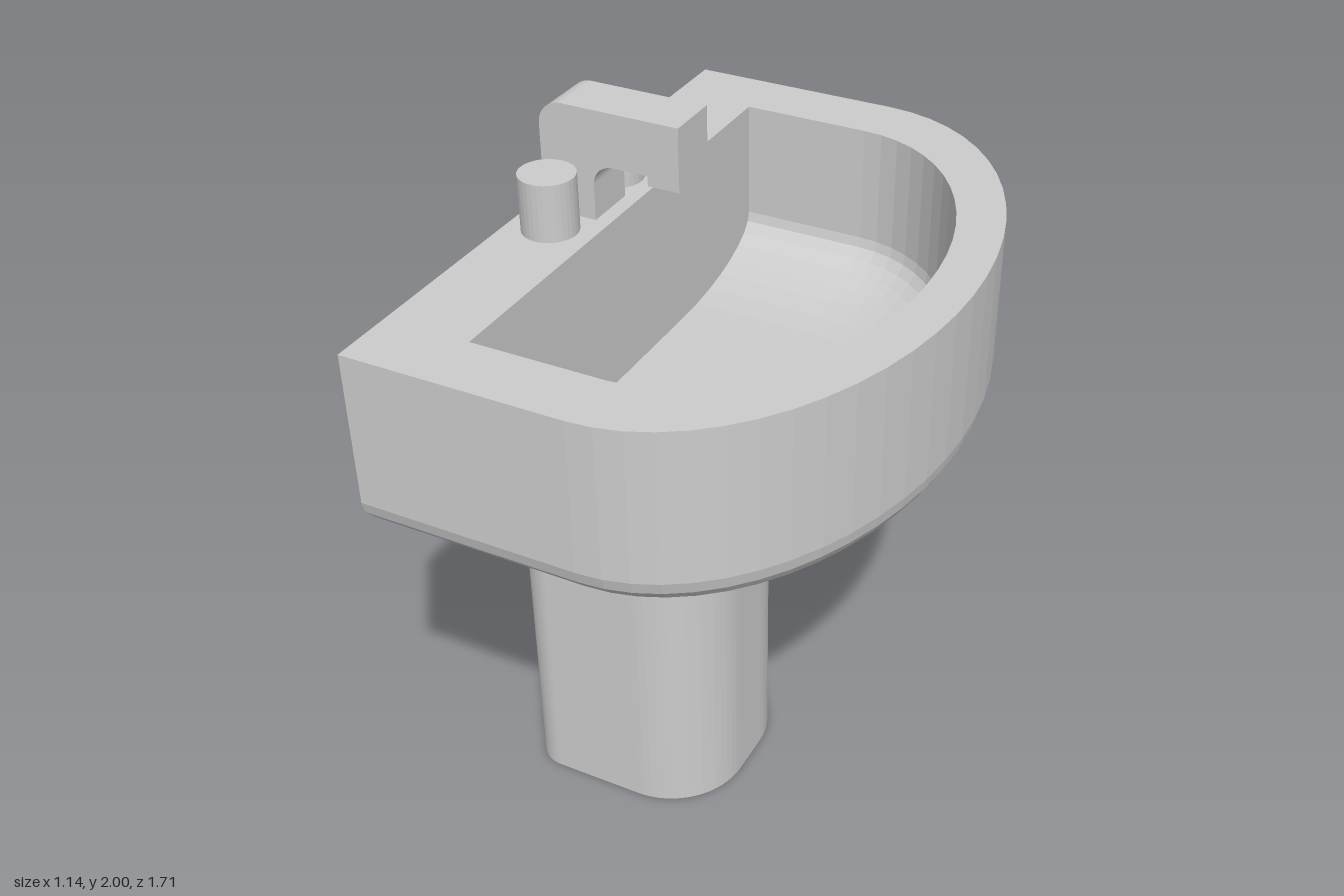
import * as THREE from 'three';

const material = new THREE.MeshStandardMaterial({ color: 0xcccccc, flatShading: true });

function add(group, geometry, name, x = 0, y = 0, z = 0) {
  const mesh = new THREE.Mesh(geometry, material);
  mesh.name = name;
  mesh.position.set(x, y, z);
  group.add(mesh);
  return mesh;
}

// D-shaped ring: straight back and sides, half-elliptical front
const ARC = 28;
function dRing(scale, back, y) {
  const ring = [[back, y, 0.855 * scale]];
  for (let i = 0; i <= ARC; i++) {
    const a = Math.PI * (0.5 - i / ARC);
    ring.push([0.57 * scale * Math.cos(a), y, 0.855 * scale * Math.sin(a)]);
  }
  ring.push([back, y, -0.855 * scale]);
  return ring;
}

// Skin between consecutive closed rings
function loft(rings) {
  const n = rings[0].length;
  const index = [];
  for (let k = 0; k < rings.length - 1; k++) {
    for (let i = 0; i < n; i++) {
      const j = (i + 1) % n;
      const a = k * n + i, b = k * n + j, c = b + n, d = a + n;
      index.push(a, b, c, a, c, d);
    }
  }
  const g = new THREE.BufferGeometry();
  g.setAttribute('position', new THREE.Float32BufferAttribute(rings.flat(2), 3));
  g.setIndex(index);
  const flat = g.toNonIndexed();
  flat.computeVertexNormals();
  return flat;
}

// Bowl shell rings from underside to rim; the inside is the same form at 80 %
function bowlRings(size, back) {
  const top = 1.71, steps = 8, rings = [];
  const point = [(back + 0.25 * size) / 2, top - 0.57 * size, 0];
  rings.push(Array.from({ length: ARC + 3 }, () => point));
  for (let i = steps; i >= 0; i--) {
    const t = (i / steps) * Math.PI / 2;
    const s = 0.42 + 0.58 * Math.cos(t);
    rings.push(dRing(s * size, back, top - size * (0.4 + 0.17 * Math.sin(t))));
  }
  rings.push(dRing(size, back, top));
  return rings;
}

function pedestalGeometry() {
  const x0 = -0.57, x1 = 0, w = 0.285, rb = 0.09, rf = 0.22;
  const s = new THREE.Shape();
  s.moveTo(x0 + rb, -w);
  s.lineTo(x1 - rf, -w);
  s.absarc(x1 - rf, -w + rf, rf, -Math.PI / 2, 0, false);
  s.absarc(x1 - rf, w - rf, rf, 0, Math.PI / 2, false);
  s.absarc(x0 + rb, w - rb, rb, Math.PI / 2, Math.PI, false);
  s.absarc(x0 + rb, -w + rb, rb, Math.PI, Math.PI * 1.5, false);
  const g = new THREE.ExtrudeGeometry(s, { depth: 1.145, bevelEnabled: false, curveSegments: 8 });
  return g.rotateX(-Math.PI / 2);
}

function spoutGeometry() {
  const s = new THREE.Shape();
  s.moveTo(-0.53, 1.71);
  s.lineTo(-0.385, 1.71);
  s.lineTo(-0.385, 1.805);
  s.absarc(-0.33, 1.805, 0.055, Math.PI, Math.PI / 2, true);
  s.lineTo(-0.235, 1.86);
  s.lineTo(-0.235, 1.835);
  s.lineTo(-0.15, 1.835);
  s.lineTo(-0.15, 2);
  s.lineTo(-0.465, 2);
  s.absarc(-0.465, 1.935, 0.065, Math.PI / 2, Math.PI, false);
  s.closePath();
  const g = new THREE.ExtrudeGeometry(s, { depth: 0.144, bevelEnabled: false, curveSegments: 8 });
  return g.translate(0, 0, -0.072);
}

export function createModel() {
  const model = new THREE.Group();
  model.name = 'pedestalSink';

  // Basin: outer shell, flat rim and inner bowl as one skin
  const outer = bowlRings(1, -0.57);
  const inner = bowlRings(0.8, -0.345).reverse();
  add(model, loft([...outer, ...inner]), 'basin');

  add(model, pedestalGeometry(), 'pedestal');
  add(model, spoutGeometry(), 'spout');

  // Pair of tap knobs
  for (const side of [1, -1]) {
    add(model, new THREE.CylinderGeometry(0.072, 0.072, 0.15, 32),
      side > 0 ? 'frontTap' : 'backTap', -0.46, 1.785, side * 0.16);
  }
  return model;
}
